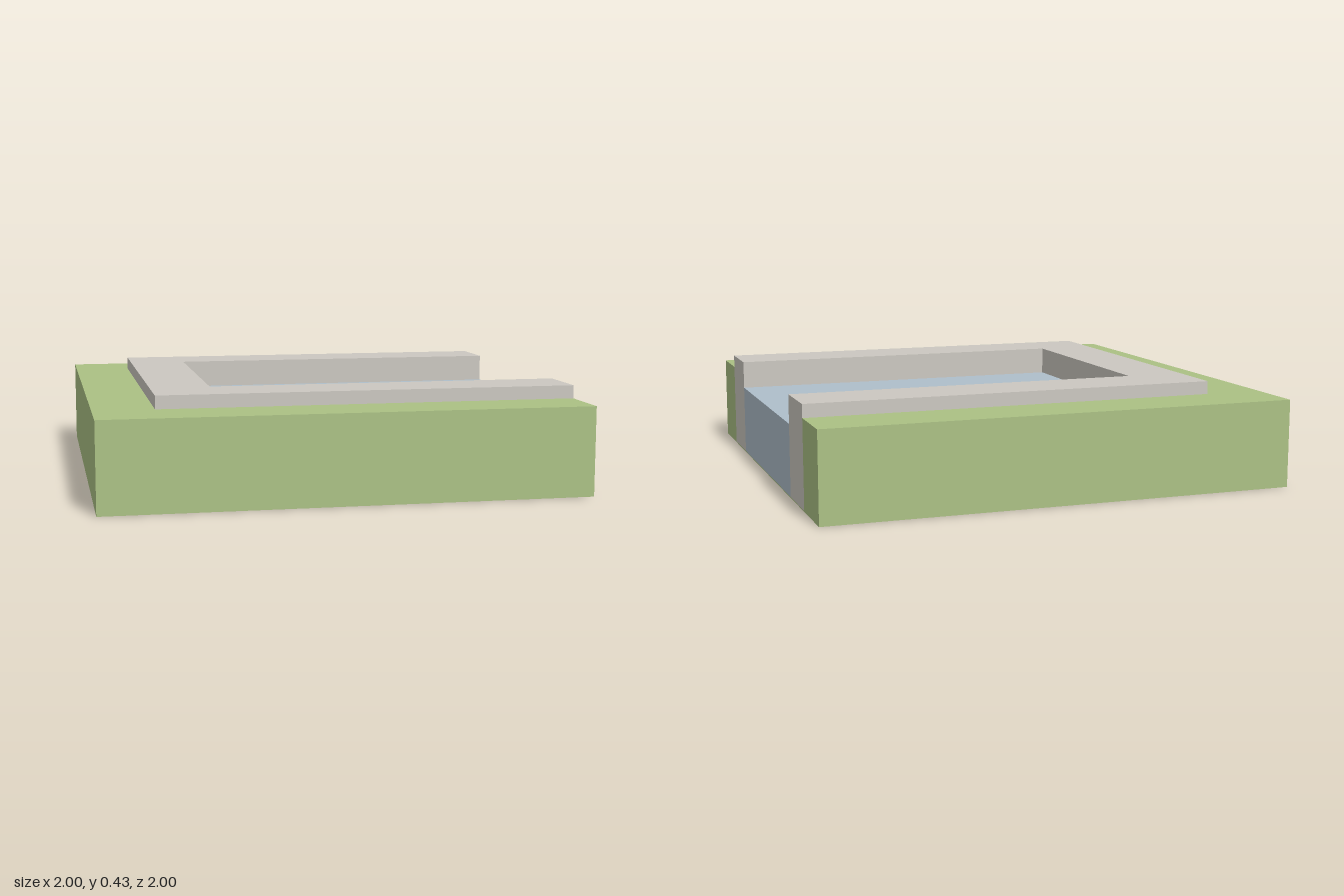
import * as THREE from 'three';

const FLOOR = 0.004; // thin ground layer under the whole tile

// U-shaped slab, open towards +x, lying flat between two heights
function channel(outer, inner, bottom, top) {
  const shape = new THREE.Shape([
    [1, -outer], [1, -inner], [-inner, -inner], [-inner, inner],
    [1, inner], [1, outer], [-outer, outer], [-outer, -outer],
  ].map(([x, y]) => new THREE.Vector2(x, y)));
  const geometry = new THREE.ExtrudeGeometry(shape, { depth: top - bottom, bevelEnabled: false });
  return geometry.rotateX(-Math.PI / 2).translate(0, bottom, 0);
}

// Box given by its x range, height range and depth
function block(x0, x1, y0, y1, depth) {
  return new THREE.BoxGeometry(x1 - x0, y1 - y0, depth)
    .translate((x0 + x1) / 2, (y0 + y1) / 2, 0);
}

export function createModel() {
  const material = (name, color) => {
    const m = new THREE.MeshStandardMaterial({ color });
    m.name = name;
    return m;
  };
  const grass = material('grass green', 0xabc184);
  const stone = material('pale stone', 0xcbc7c0);
  const water = material('water blue', 0xaebeca);

  const group = new THREE.Group();
  group.name = 'canalEndTile';
  const add = (name, geometry, mat) => {
    const mesh = new THREE.Mesh(geometry, mat);
    mesh.name = name;
    group.add(mesh);
  };

  // Ground: underside layer and the grass bank around three sides
  add('groundBase', block(-1, 1, 0, FLOOR, 2), grass);
  add('grassBank', channel(1, 0.75, FLOOR, 0.37), grass);

  // Raised stone kerb enclosing the basin
  add('stoneKerb', channel(0.75, 0.5, FLOOR, 0.425), stone);

  // Water filling the basin, open at the +x edge
  add('waterBody', block(-0.5, 1, FLOOR, 0.305, 1), water);

  return group;
}
